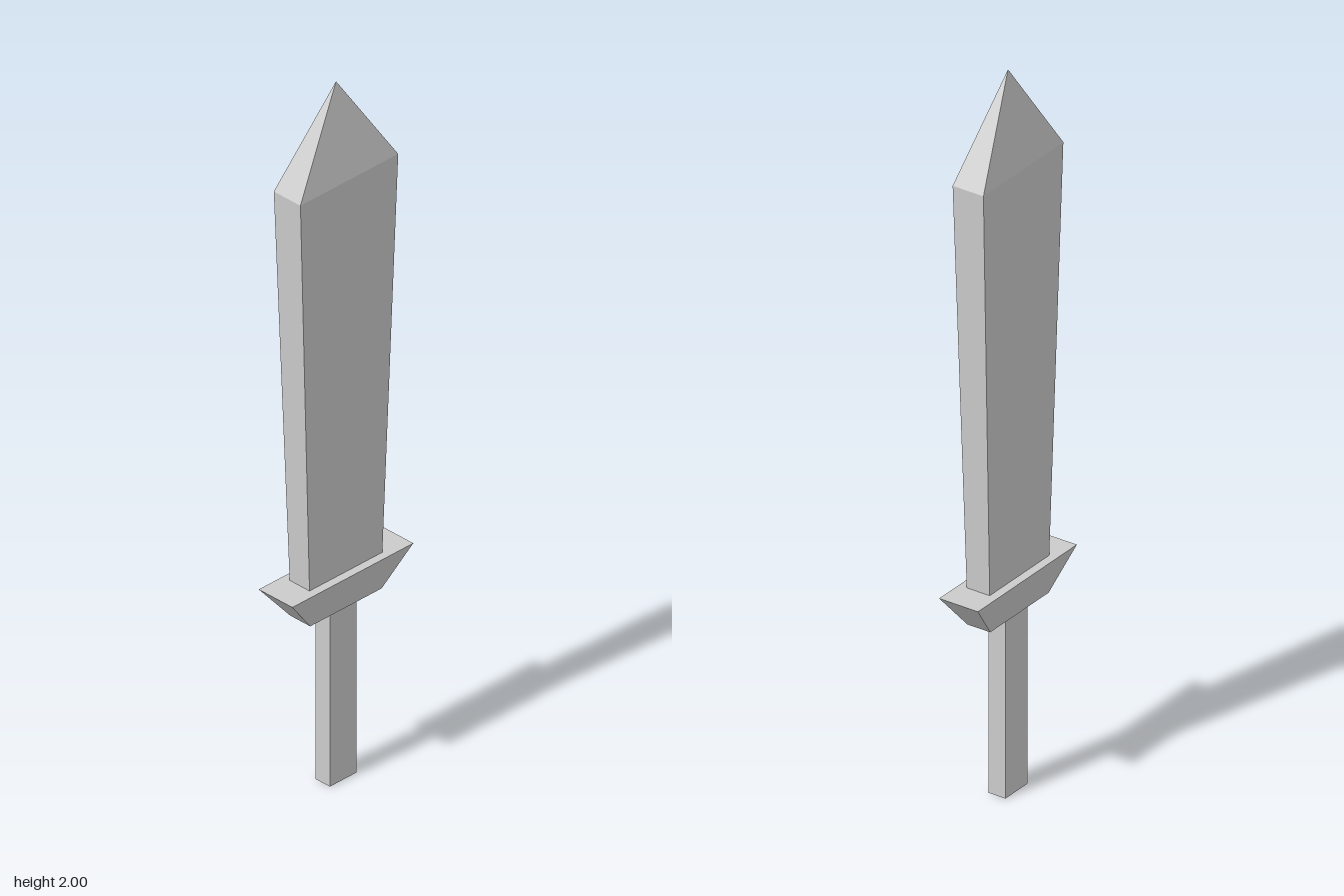
import * as THREE from 'three';

const material = new THREE.MeshStandardMaterial({ color: 0xcccccc, flatShading: true });

// Four-sided tapered block: half sizes hx, hz apply at unit scale, multiplied by bottom and top
function taperedBlock(name, y0, y1, hx, hz, bottom = 1, top = 1, open = false) {
  const r = Math.SQRT2;
  const shape = new THREE.CylinderGeometry(r * top, r * bottom, y1 - y0, 4, 1, open, Math.PI / 4);
  shape.scale(hx, 1, hz);
  shape.translate(0, (y0 + y1) / 2, 0);
  const geometry = shape.toNonIndexed();
  geometry.computeVertexNormals();
  const mesh = new THREE.Mesh(geometry, material);
  mesh.name = name;
  return mesh;
}

export function createModel() {
  const sword = new THREE.Group();
  sword.name = 'sword';

  // Handle and flared crossguard
  sword.add(taperedBlock('grip', 0, 0.5, 0.046, 0.025));
  sword.add(taperedBlock('guard', 0.5, 0.603, 0.208, 0.058, 0.59, 1));

  // Blade widens upward, then closes in a pyramid point
  sword.add(taperedBlock('blade', 0.603, 1.737, 0.168, 0.046, 0.745, 1, true));
  sword.add(taperedBlock('bladeTip', 1.737, 2, 0.168, 0.046, 1, 0, true));

  return sword;
}
